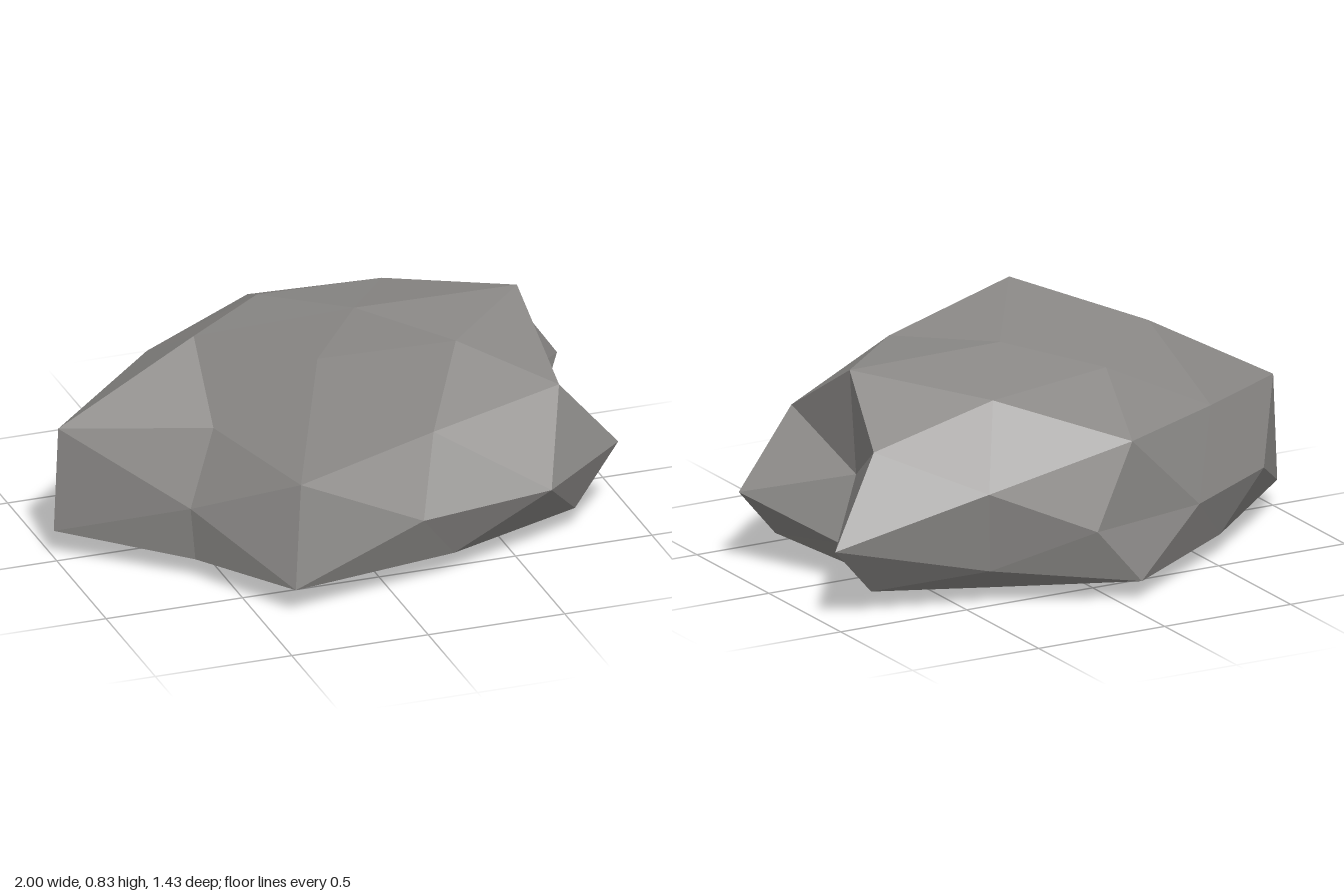
import * as THREE from 'three';
import { ConvexGeometry } from 'three/addons/geometries/ConvexGeometry.js';

// Rings of a subdivided icosahedron whose poles lie on the z axis:
// [z of the ring, first angle in degrees, radial stretch of each point going round]
const RINGS = [
  [1, 0, [0.92]],
  [0.8507, 0, [0.95, 0.73, 1.03, 1.13, 0.92]],
  [0.5257, 36, [0.9, 1.15, 0.85, 1.14, 0.97]],
  [0.4472, 0, [0.95, 0.93, 0.86, 0.97, 0.92]],
  [0, 18, [0.6, 1.015, 0.833, 1.0, 1.14, 1.157, 1.0, 0.98, 0.93, 0.675]],
  [-0.4472, 36, [0.95, 0.89, 0.96, 0.98, 0.97]],
  [-0.5257, 0, [1.055, 0.87, 0.91, 0.95, 0.95]],
  [-0.8507, 36, [0.83, 0.98, 0.88, 1.05, 0.76]],
  [-1, 0, [0.883]],
];
const SCALE = new THREE.Vector3(1, 0.6, 0.77);
const CENTRE = new THREE.Vector3(0.1, 0.28, -0.03);

// Stretch a direction outward, flatten the underside, and move it into place
function weather(direction, stretch) {
  const p = direction.clone().multiplyScalar(stretch).multiply(SCALE);
  if (p.y < -0.16) p.y = -0.16 + (p.y + 0.16) * 0.27;
  return p.add(CENTRE);
}

export function createModel() {
  const directions = [], points = [];
  for (const [z, start, stretches] of RINGS) {
    const radius = Math.sqrt(1 - z * z);
    stretches.forEach((stretch, i) => {
      const a = THREE.MathUtils.degToRad(start + (i * 360) / stretches.length);
      const d = new THREE.Vector3(radius * Math.cos(a), radius * Math.sin(a), z);
      directions.push(d);
      points.push(weather(d, stretch));
    });
  }

  // The hull of the even sphere gives the facets; each corner then moves to its weathered place
  const geometry = new ConvexGeometry(directions);
  const position = geometry.attributes.position;
  const corner = new THREE.Vector3();
  for (let i = 0; i < position.count; i++) {
    corner.fromBufferAttribute(position, i);
    const k = directions.findIndex((d) => d.distanceToSquared(corner) < 1e-4);
    position.setXYZ(i, points[k].x, points[k].y, points[k].z);
  }
  geometry.computeVertexNormals();

  const stone = new THREE.MeshStandardMaterial({ color: 0x8a8886, flatShading: true });
  stone.name = 'stone grey';
  const rock = new THREE.Mesh(geometry, stone);
  rock.name = 'rock';

  const group = new THREE.Group();
  group.name = 'boulder';
  group.add(rock);
  return group;
}
